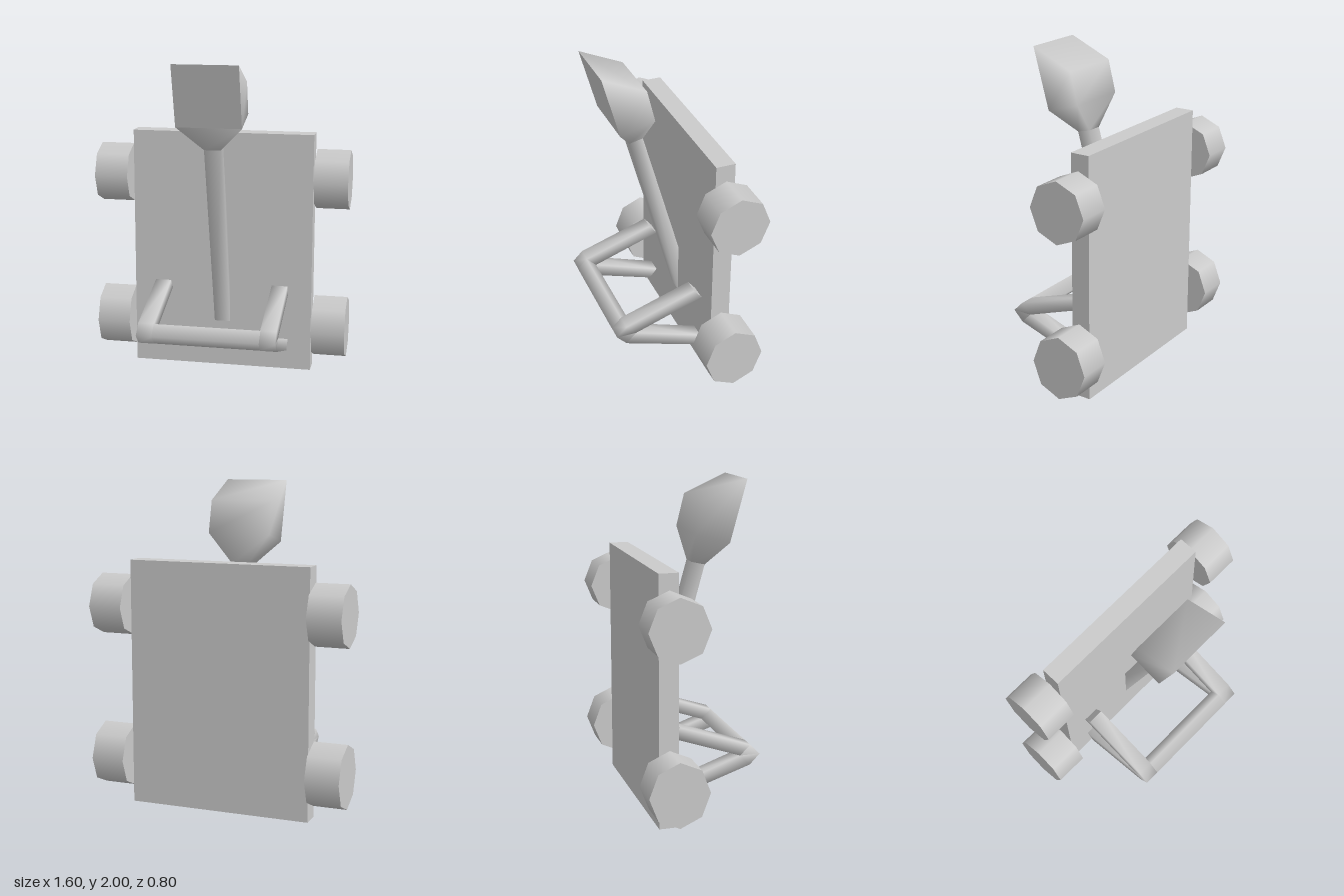
import * as THREE from 'three';
import { mergeGeometries } from 'three/addons/utils/BufferGeometryUtils.js';

const material = new THREE.MeshStandardMaterial({ color: 0xcccccc });

function add(parent, name, geometry, x = 0, y = 0, z = 0) {
  const mesh = new THREE.Mesh(geometry, material);
  mesh.name = name;
  mesh.position.set(x, y, z);
  parent.add(mesh);
  return mesh;
}

function indexed(points, index) {
  const g = new THREE.BufferGeometry();
  g.setAttribute('position', new THREE.Float32BufferAttribute(points, 3));
  g.setIndex(index);
  g.computeVertexNormals();
  return g;
}

// Lofts four-cornered sections [front z, front y, back z, back y, half width].
// Walls and the optional smooth end are soft; flat ends (and one flat front panel) stay crisp.
function loft(sections, { smoothEnd = false, flatFront = -1 } = {}) {
  const rings = sections.map(([fz, fy, bz, by, w]) =>
    [[-w, fy, fz], [w, fy, fz], [w, by, bz], [-w, by, bz]]);
  const quad = [0, 1, 2, 0, 2, 3];
  const walls = [];
  const flats = [];
  const last = rings.length - 1;
  for (let i = 0; i < last; i++) {
    for (let k = 0; k < 4; k++) {
      const n = (k + 1) % 4;
      if (i === flatFront && k === 0) {
        flats.push(indexed([rings[i][0], rings[i][1], rings[i + 1][1], rings[i + 1][0]].flat(), quad));
        continue;
      }
      const a = i * 4 + k, b = i * 4 + n;
      walls.push(a, b, b + 4, a, b + 4, a + 4);
    }
  }
  if (smoothEnd) walls.push(...quad.map((q) => last * 4 + q));
  else flats.push(indexed(rings[last].flat(), quad));
  flats.push(indexed([...rings[0]].reverse().flat(), quad));
  return mergeGeometries([indexed(rings.flat(2), walls), ...flats]);
}

export function createModel() {
  const model = new THREE.Group();
  model.name = 'catapult';

  // Flat deck, standing on its end
  add(model, 'deck', new THREE.BoxGeometry(1.15, 1.53, 0.12), 0, 0.765, -0.22);

  // Four eight-sided wheels
  const wheel = new THREE.CylinderGeometry(1, 1, 0.21, 8).rotateZ(Math.PI / 2);
  for (const side of [-1, 1]) {
    for (const [name, y, r] of [['upperWheel', 1.247, 0.188], ['lowerWheel', 0.288, 0.199]]) {
      add(model, name, wheel, side * 0.695, y, -0.22).scale.set(1, r, 0.183);
    }
  }

  // Throwing arm, sunk into the deck at its foot
  add(model, 'throwingArm', loft([
    [-0.17, 0.26, -0.26, 0.28, 0.05],
    [0.165, 1.47, 0.08, 1.49, 0.05],
  ]));

  // Scoop flaring out from the end of the arm
  add(model, 'scoop', loft([
    [0.165, 1.47, 0.08, 1.49, 0.05],
    [0.275, 1.62, 0.06, 1.68, 0.2],
    [0.38, 2.0, 0.11, 1.88, 0.2],
  ], { smoothEnd: true, flatFront: 1 }));

  // Stop frame: a bent strut on each side joined by a crossbar
  const strut = loft([
    [-0.11, 0.14, -0.16, 0.2, 0.05],
    [0.338, 0.288, 0.275, 0.352, 0.05],
    [0.4, 0.352, 0.275, 0.352, 0.05],
    [0.338, 0.415, 0.275, 0.352, 0.05],
    [-0.11, 0.567, -0.16, 0.505, 0.05],
  ]);
  for (const side of [-1, 1]) add(model, 'stopStrut', strut, side * 0.378);
  const bar = new THREE.CylinderGeometry(0.063, 0.063, 0.66, 4, 1, true).rotateZ(Math.PI / 2);
  add(model, 'stopCrossbar', bar, 0, 0.352, 0.338);

  return model;
}
